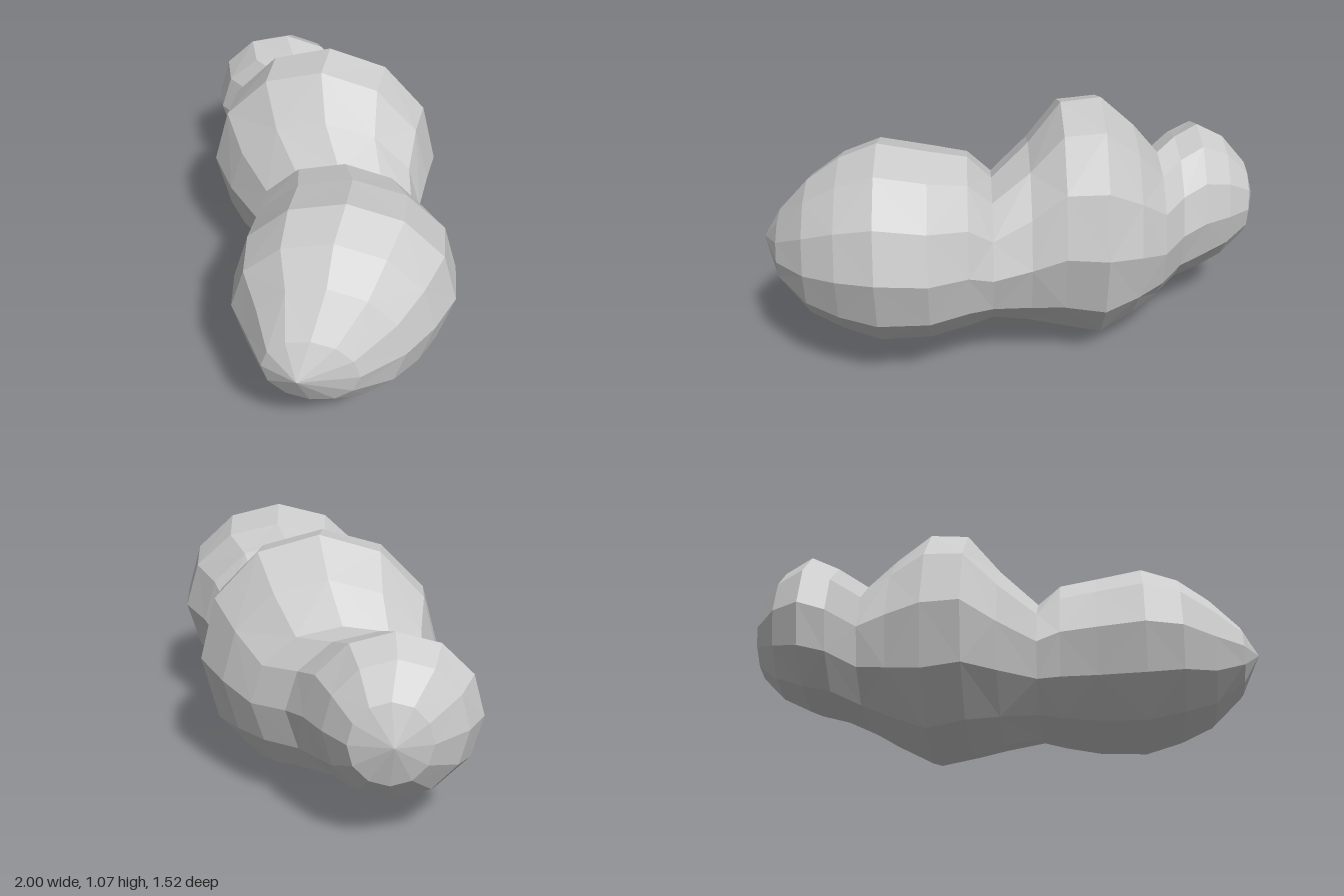
import * as THREE from 'three';

const SIDES = 12;

// Cross-sections along the cloud's axis: [along, sideMin, sideMax, bottom, top]
const SECTIONS = [
  [-1.105, -0.2, -0.2, 0.5, 0.5],     // small puff
  [-1.055, -0.35, -0.03, 0.32, 0.66],
  [-0.95, -0.49, 0.06, 0.21, 0.78],
  [-0.83, -0.56, 0.13, 0.15, 0.84],
  [-0.72, -0.53, 0.2, 0.14, 0.8],
  [-0.62, -0.39, 0.34, 0.13, 0.78],   // crease
  [-0.5, -0.4, 0.46, 0.07, 0.93],     // tall middle puff
  [-0.35, -0.43, 0.56, 0.0, 1.07],
  [-0.18, -0.44, 0.54, 0.03, 1.045],
  [-0.04, -0.34, 0.52, 0.08, 0.88],
  [0.12, -0.19, 0.54, 0.14, 0.755],   // crease
  [0.22, -0.18, 0.6, 0.12, 0.865],    // large end puff
  [0.38, -0.18, 0.7, 0.11, 0.91],
  [0.59, -0.19, 0.71, 0.1, 0.95],
  [0.75, -0.17, 0.64, 0.14, 0.88],
  [0.89, -0.08, 0.54, 0.2, 0.78],
  [1.02, 0.0, 0.38, 0.32, 0.63],
  [1.1, 0.15, 0.15, 0.49, 0.49],
];

// Lofts a closed, faceted skin through the sections
function loftPuffs(sections) {
  const positions = [];
  const index = [];
  const heading = Math.atan2(0.67, 0.74);
  const sin = Math.sin(heading), cos = Math.cos(heading);

  for (const [along, s0, s1, y0, y1] of sections) {
    for (let k = 0; k < SIDES; k++) {
      const angle = (k / SIDES) * Math.PI * 2;
      const side = (s0 + s1) / 2 + ((s1 - s0) / 2) * Math.cos(angle);
      const y = (y0 + y1) / 2 + ((y1 - y0) / 2) * Math.sin(angle);
      positions.push(sin * along + cos * side, y, cos * along - sin * side);
    }
  }
  const last = sections.length - 2;
  for (let i = 0; i <= last; i++) {
    for (let k = 0; k < SIDES; k++) {
      const n = (k + 1) % SIDES;
      const a = i * SIDES + k, b = i * SIDES + n;
      const c = b + SIDES, d = a + SIDES;
      // The first and last sections are single points
      if (i === 0) index.push(a, c, d);
      else if (i === last) index.push(a, b, c);
      else if ((i + k) % 2) index.push(a, b, c, a, c, d);
      else index.push(a, b, d, b, c, d);
    }
  }
  const geometry = new THREE.BufferGeometry();
  geometry.setAttribute('position', new THREE.Float32BufferAttribute(positions, 3));
  geometry.setIndex(index);
  const flat = geometry.toNonIndexed();
  flat.computeVertexNormals();
  return flat;
}

export function createModel() {
  const group = new THREE.Group();
  group.name = 'cloud';

  const geometry = loftPuffs(SECTIONS);
  geometry.computeBoundingBox();
  const { min, max } = geometry.boundingBox;
  geometry.translate(-(min.x + max.x) / 2, -min.y, -(min.z + max.z) / 2);

  const material = new THREE.MeshStandardMaterial({ color: 0xcccccc, flatShading: true });
  const body = new THREE.Mesh(geometry, material);
  body.name = 'cloudPuffs';
  group.add(body);
  return group;
}
